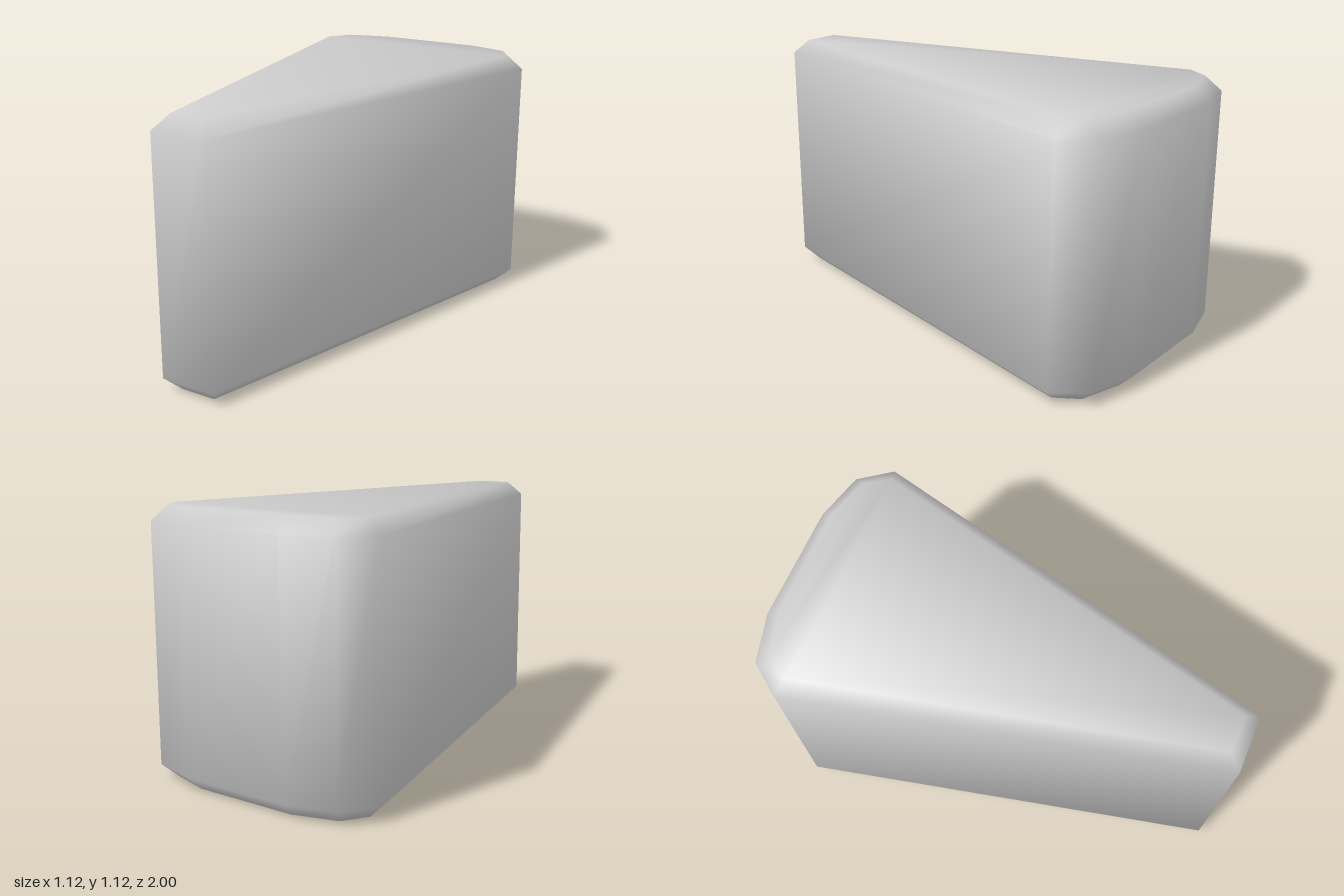
import * as THREE from 'three';

// Right half of an outline [x, z] from front to back, mirrored into a closed loop
const mirrorLoop = (half) => [...half, ...half.map(([x, z]) => [-x, z]).reverse()];

const OUTER = mirrorLoop([[0.125, 1], [0.56, -0.81], [0.46, -0.945], [0.25, -1]]);
const INNER = mirrorLoop([[0.08, 0.94], [0.49, -0.785], [0.425, -0.885], [0.235, -0.94]]);

// Chamfered prism from stacked loops, with corner-angle-weighted smooth normals
function loftGeometry(layers) {
  const n = layers[0].loop.length;
  const points = layers.flatMap(({ y, loop }) => loop.map(([x, z]) => new THREE.Vector3(x, y, z)));
  const faces = [];
  const index = [];
  const quad = (a, b, c, d) => index.push(a, b, c, a, c, d);

  // Walls and chamfers
  for (let l = 0; l < layers.length - 1; l++) {
    for (let i = 0; i < n; i++) {
      const j = (i + 1) % n;
      const f = [l * n + i, l * n + j, (l + 1) * n + j, (l + 1) * n + i];
      faces.push(f);
      quad(...f);
    }
  }

  // Flat top and bottom, cut into strips across the width
  const t = (layers.length - 1) * n;
  const ring = [...Array(n).keys()];
  faces.push(ring.map((i) => t + i), [...ring].reverse());
  for (let i = 0; i < n / 2 - 1; i++) {
    const strip = [i, i + 1, n - 2 - i, n - 1 - i];
    quad(...strip.map((k) => t + k));
    quad(...strip.reverse());
  }

  // Smooth normals
  const normals = points.map(() => new THREE.Vector3());
  for (const f of faces) {
    const p = f.map((k) => points[k]);
    const normal = new THREE.Vector3();
    p.forEach((v, k) => normal.add(v.clone().cross(p[(k + 1) % p.length])));
    normal.normalize();
    f.forEach((id, k) => {
      const a = p[(k + 1) % p.length].clone().sub(p[k]);
      const b = p[(k + p.length - 1) % p.length].clone().sub(p[k]);
      normals[id].addScaledVector(normal, a.angleTo(b));
    });
  }

  const flat = (list) => new THREE.Float32BufferAttribute(list.flatMap((v) => v.toArray()), 3);
  const geometry = new THREE.BufferGeometry();
  geometry.setAttribute('position', flat(points));
  geometry.setAttribute('normal', flat(normals.map((v) => v.normalize())));
  geometry.setIndex(index);
  return geometry;
}

export function createModel() {
  const stone = new THREE.MeshStandardMaterial({ color: 0xcccccc });
  stone.name = 'lightGrey';

  // Wedge block, narrow at the front and wide at the back
  const wedge = new THREE.Mesh(
    loftGeometry([
      { y: 0, loop: INNER },
      { y: 0.06, loop: OUTER },
      { y: 1.065, loop: OUTER },
      { y: 1.125, loop: INNER },
    ]),
    stone
  );
  wedge.name = 'wedgeBlock';

  const group = new THREE.Group();
  group.name = 'wedge';
  group.add(wedge);
  return group;
}
